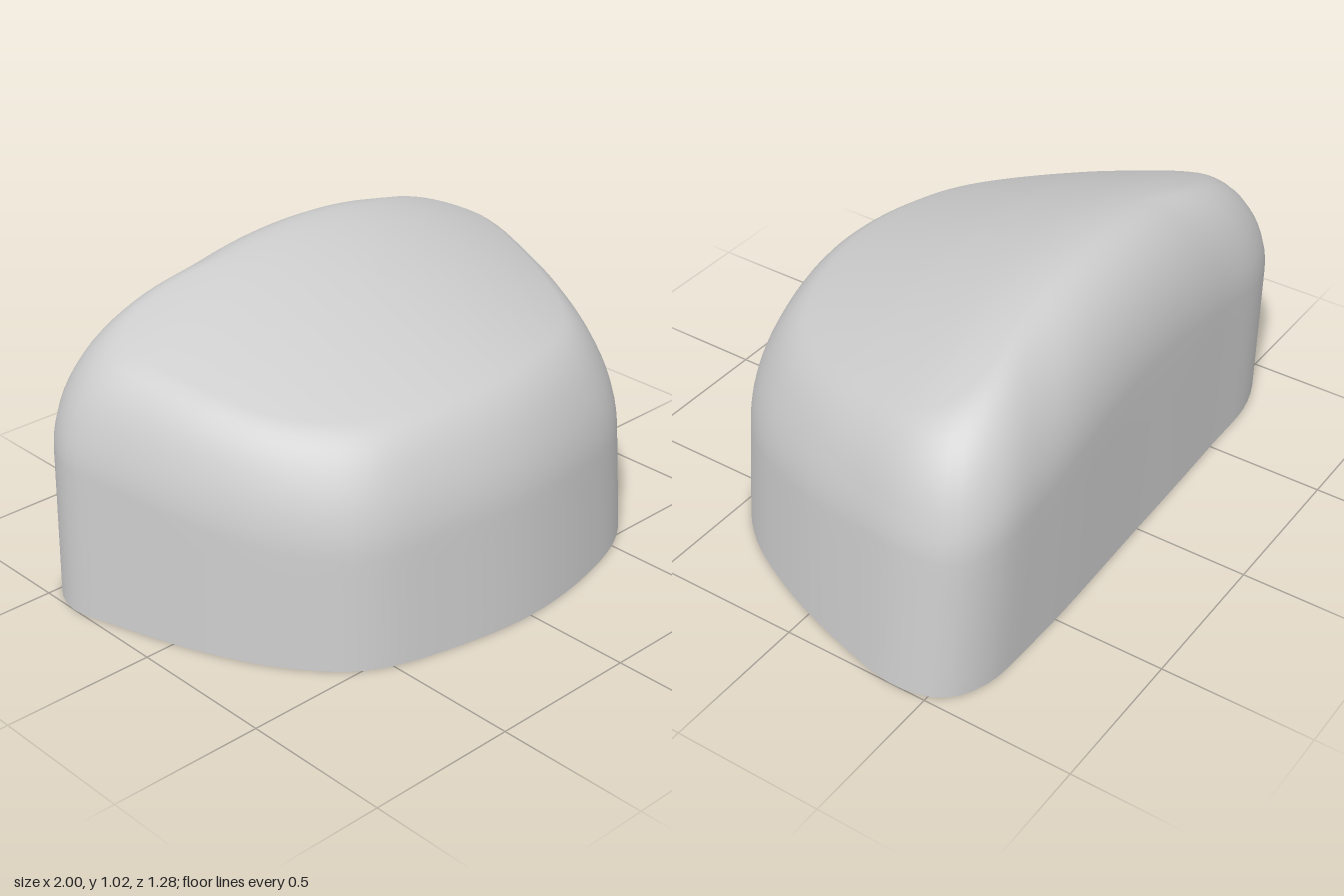
import * as THREE from 'three';

// Base outline (x, z), from the front centre round by +x
const OUTLINE = [
  [0, 0.638], [0.3, 0.6], [0.55, 0.51], [0.72, 0.36], [0.85, 0.13], [0.95, -0.15], [1, -0.4],
  [0.96, -0.54], [0.85, -0.61], [0.6, -0.628], [0, -0.615], [-0.5, -0.6], [-0.78, -0.585],
  [-0.93, -0.52], [-1, -0.38], [-0.96, -0.2], [-0.86, 0.1], [-0.74, 0.33], [-0.57, 0.51], [-0.3, 0.6],
];
const CZ = -0.05; // centre the rings shrink towards
const SEG = 120;

// Sloping, slightly domed top, levelling off near the back
function topHeight(x, z) {
  const d = z + 0.32;
  const zz = (d + Math.sqrt(d * d + 0.01)) / 2 - 0.32;
  return 0.912 - 0.36 * zz - 0.27 * x * x;
}

// Walls lean in slightly at front and sides, out at the back
function lean(x, y, z) {
  const k = Math.min(y / 0.6, 1);
  return [x * (1 - (x > 0 ? 0.05 : 0.025) * k), y, z * (1 + (z > 0 ? -0.045 : 0.03) * k)];
}

export function createModel() {
  const group = new THREE.Group();
  const material = new THREE.MeshStandardMaterial({ color: 0xcccccc });
  const curve = new THREE.CatmullRomCurve3(OUTLINE.map(([x, z]) => new THREE.Vector3(x, 0, z)), true);
  const base = curve.getSpacedPoints(SEG).slice(0, SEG);

  // Width and height of the rounded rim, larger along the back
  const rims = base.map((p) => {
    const dz = (p.z - CZ) / Math.hypot(p.x, p.z - CZ);
    const back = THREE.MathUtils.smoothstep(-dz, 0.3, 0.75);
    const front = THREE.MathUtils.smoothstep(dz, 0.2, 0.9);
    return { w: 0.2 + 0.22 * back + 0.05 * front, h: 0.26 + 0.12 * back + 0.02 * front };
  });

  const positions = [];
  let rings = 0;
  const addRing = (fn) => {
    base.forEach((p, i) => positions.push(...fn(p, rims[i])));
    rings++;
  };
  const shell = (p, s, drop) => {
    const x = p.x * s, z = CZ + (p.z - CZ) * s;
    return [x, topHeight(x, z) - drop, z];
  };

  // Wall
  for (let i = 0; i < 6; i++) {
    addRing((p, r) => lean(p.x, shell(p, 1, r.h)[1] * i / 6, p.z));
  }
  // Rounded rim
  for (let i = 0; i <= 12; i++) {
    const a = (i / 12) * Math.PI / 2;
    addRing((p, r) => lean(...shell(p, 1 - r.w * (1 - Math.cos(a)), r.h * (1 - Math.sin(a)))));
  }
  // Top surface
  for (let i = 1; i <= 10; i++) {
    addRing((p, r) => lean(...shell(p, (1 - r.w) * (1 - i / 10), 0)));
  }

  const index = [];
  for (let r = 0; r < rings - 1; r++) {
    for (let i = 0; i < SEG; i++) {
      const j = (i + 1) % SEG;
      const a = r * SEG + i, b = r * SEG + j;
      index.push(a, b, b + SEG, a, b + SEG, a + SEG);
    }
  }
  const bodyGeometry = new THREE.BufferGeometry();
  bodyGeometry.setAttribute('position', new THREE.Float32BufferAttribute(positions, 3));
  bodyGeometry.setIndex(index);
  bodyGeometry.computeVertexNormals();
  const body = new THREE.Mesh(bodyGeometry, material);
  body.name = 'roundedBody';
  group.add(body);

  // Flat underside
  const shape = new THREE.Shape(base.map((p) => new THREE.Vector2(p.x, p.z)));
  const underside = new THREE.Mesh(new THREE.ShapeGeometry(shape).rotateX(Math.PI / 2), material);
  underside.name = 'underside';
  group.add(underside);
  return group;
}
